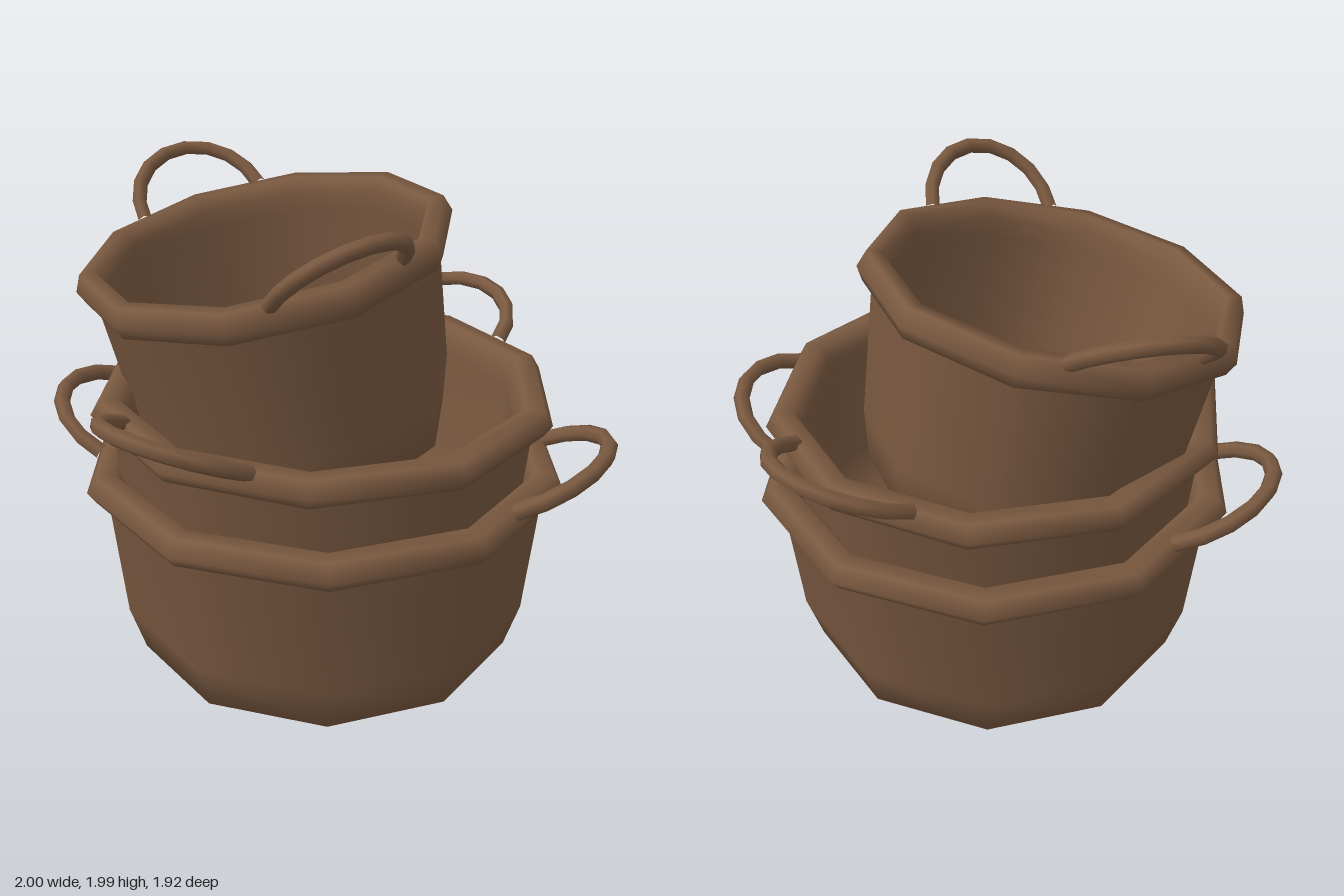
import * as THREE from 'three';

const brown = new THREE.MeshStandardMaterial({ color: 0x7a5940 });
brown.name = 'brown clay';

const SIDES = 10;

// Outer wall, rolled rim and inner wall of a pot: [radius, height]
const PROFILE = [
  [0, 0], [0.58, 0.03], [0.77, 0.12], [0.83, 0.31], [0.88, 0.815],
  [0.925, 0.815], [0.96, 0.865], [0.925, 0.925], [0.85, 0.925], [0.815, 0.87],
  [0.81, 0.8], [0.78, 0.33], [0.72, 0.17], [0.55, 0.08], [0, 0.06],
];

// Arched handle leaning outward and up from the rim
function makeHandle(angle, y0, { dist, out, up, half, tube }) {
  const points = [];
  for (let i = 0; i <= 8; i++) {
    const t = (i / 8) * Math.PI;
    const r = dist + out * Math.sin(t);
    const s = half * Math.cos(t);
    points.push(new THREE.Vector3(
      Math.cos(angle) * r - Math.sin(angle) * s,
      y0 - 0.01 + up * Math.sin(t),
      Math.sin(angle) * r + Math.cos(angle) * s,
    ));
  }
  const curve = new THREE.CatmullRomCurve3(points);
  return new THREE.Mesh(new THREE.TubeGeometry(curve, 9, tube, 6), brown);
}

// Pot with two opposite handles, each above a corner of the rim
function makePot(name, radial, vertical, handleCorner, handle) {
  const pot = new THREE.Group();
  pot.name = name;
  const profile = PROFILE.map(([r, y]) => new THREE.Vector2(r * radial, y * vertical));
  const body = new THREE.Mesh(new THREE.LatheGeometry(profile, SIDES, Math.PI / 2), brown);
  body.name = name + 'Body';
  pot.add(body);
  for (const turn of [0, Math.PI]) {
    const angle = (handleCorner / SIDES) * Math.PI * 2 + turn;
    const mesh = makeHandle(angle, 0.925 * vertical, handle);
    mesh.name = name + (turn ? 'SecondHandle' : 'FirstHandle');
    pot.add(mesh);
  }
  return pot;
}

export function createModel() {
  const model = new THREE.Group();
  model.name = 'stackedPots';

  const bottom = makePot('bottomPot', 1, 1, 1,
    { dist: 0.826, out: 0.29, up: 0.14, half: 0.32, tube: 0.033 });
  bottom.position.set(0, 0, 0.04);

  const middle = makePot('middlePot', 0.95, 0.95, 4,
    { dist: 0.775, out: 0.275, up: 0.13, half: 0.31, tube: 0.032 });
  middle.position.set(-0.005, 0.34, 0.045);
  middle.rotation.y = -0.07;

  // Taller, narrower pot leaning to one side inside the stack
  const top = makePot('topPot', 0.765, 1.08, 2,
    { dist: 0.62, out: 0.22, up: 0.18, half: 0.26, tube: 0.03 });
  top.position.set(-0.02, 0.79, -0.1);
  top.rotation.set(0, -0.18, 0.182, 'ZYX');

  model.add(bottom, middle, top);
  return model;
}
